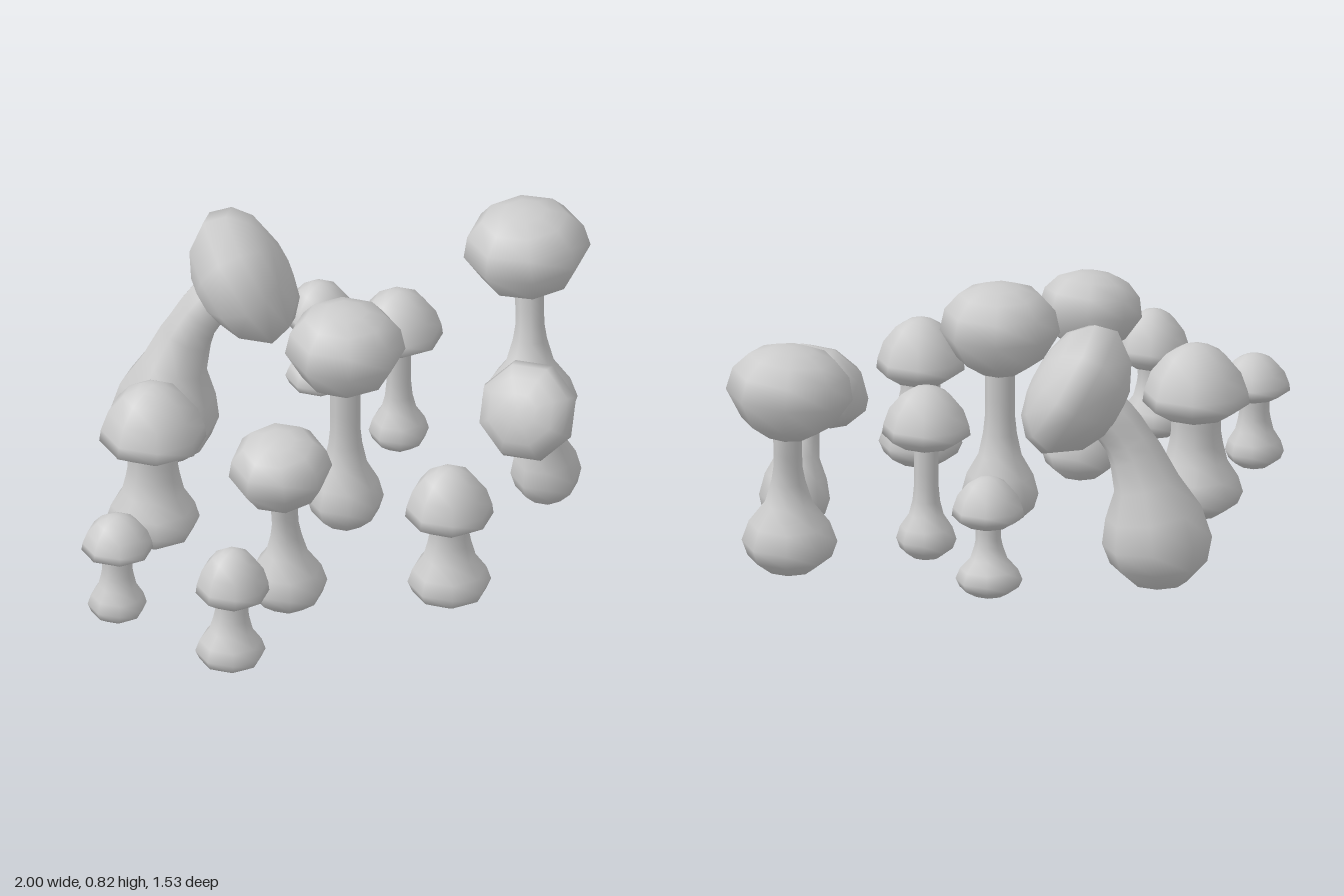
import * as THREE from 'three';
import { mergeVertices } from 'three/addons/utils/BufferGeometryUtils.js';

const SIDES = 8;
const UP = new THREE.Vector3(0, 1, 0);
const material = new THREE.MeshStandardMaterial({ color: 0xcccccc });

// Cap profiles: [radius, height], both in 0..1
const ROUND = [[0, 0], [0.35, 0.03], [0.72, 0.18], [1, 0.48], [0.92, 0.72], [0.68, 0.89], [0.35, 0.97], [0, 1]];
const DOME = [[0, 0], [0.6, 0.03], [1, 0.2], [0.97, 0.36], [0.84, 0.62], [0.56, 0.85], [0.28, 0.96], [0, 1]];

// Weld the lathe seam and smooth the normals
function smooth(geometry) {
  geometry.deleteAttribute('uv');
  geometry.deleteAttribute('normal');
  const welded = mergeVertices(geometry);
  welded.computeVertexNormals();
  return welded;
}

function lathe(points) {
  return new THREE.LatheGeometry(points.map(([r, y]) => new THREE.Vector2(r, y)), SIDES);
}

function makeCap({ shape, cap, r, h, axis = [0, 1, 0] }) {
  const geometry = lathe(shape.map(([px, py]) => [px * r, (py - 0.5) * h]));
  const mesh = new THREE.Mesh(smooth(geometry), material);
  mesh.name = 'cap';
  mesh.position.set(...cap);
  mesh.quaternion.setFromUnitVectors(UP, new THREE.Vector3(...axis).normalize());
  return mesh;
}

// Bulb and stem: a lathe bent along a curve from the ground into the cap
function makeStem({ base, cap, axis = [0, 1, 0], bulb, bulbH, stem }) {
  const start = new THREE.Vector3(...base);
  const end = new THREE.Vector3(...cap);
  const rise = end.y - start.y;
  const dir = new THREE.Vector3(...axis).normalize();
  const curve = new THREE.CubicBezierCurve3(
    start,
    start.clone().addScaledVector(UP, rise * 0.55),
    end.clone().addScaledVector(dir, -rise * 0.3),
    end
  );
  const length = curve.getLength();
  const flare = (k) => stem + (bulb - stem) * k;
  const profile = [
    [0, 0], [bulb * 0.5, bulbH * 0.06], [bulb * 0.88, bulbH * 0.24], [bulb, bulbH * 0.45],
    [flare(0.78), bulbH * 0.72], [flare(0.28), bulbH], [flare(0.08), bulbH * 1.3]
  ];
  const last = bulbH * 1.3;
  for (let i = 1; i <= 6; i++) profile.push([stem, last + (length - last) * i / 6]);

  const geometry = lathe(profile);
  const pos = geometry.attributes.position;
  const turn = new THREE.Quaternion();
  const v = new THREE.Vector3();
  for (let i = 0; i < pos.count; i++) {
    const u = Math.min(1, Math.max(0, pos.getY(i) / length));
    turn.setFromUnitVectors(UP, curve.getTangentAt(u));
    v.set(pos.getX(i), 0, pos.getZ(i)).applyQuaternion(turn).add(curve.getPointAt(u));
    pos.setXYZ(i, v.x, v.y, v.z);
  }
  const mesh = new THREE.Mesh(smooth(geometry), material);
  mesh.name = 'stem';
  return mesh;
}

// cap: centre of the cap, r and h: its radius and height, base: foot of the stem
const MUSHROOMS = [
  // Large and leaning, with rounded caps
  { name: 'giantMushroom', shape: ROUND, cap: [0.145, 0.61, -0.445], r: 0.225, h: 0.28, axis: [0.62, 0.5, 0.6],
    base: [-0.03, 0, -0.61], bulb: 0.165, bulbH: 0.33, stem: 0.075 },
  { name: 'centreMushroom', shape: ROUND, cap: [-0.01, 0.64, 0.09], r: 0.18, h: 0.28,
    base: [-0.01, 0.03, 0.09], bulb: 0.115, bulbH: 0.22, stem: 0.045 },
  { name: 'leftMushroom', shape: ROUND, cap: [0.81, 0.615, 0.1], r: 0.19, h: 0.285, axis: [-0.06, 1, -0.04],
    base: [0.77, 0.03, 0.145], bulb: 0.143, bulbH: 0.23, stem: 0.043 },
  { name: 'rightLeaningMushroom', shape: ROUND, cap: [-0.535, 0.54, 0.285], r: 0.155, h: 0.24, axis: [-0.18, 1, 0.05],
    base: [-0.48, 0.03, 0.265], bulb: 0.12, bulbH: 0.2, stem: 0.04 },
  { name: 'bentMushroom', shape: ROUND, cap: [0.34, 0.43, 0.505], r: 0.155, h: 0.19, axis: [-0.8, 0.45, 0.3],
    base: [0.49, 0.03, 0.45], bulb: 0.106, bulbH: 0.23, stem: 0.047 },
  // Upright, with domed caps
  { name: 'backRightMushroom', shape: DOME, cap: [-0.47, 0.47, -0.27], r: 0.16, h: 0.23,
    base: [-0.47, 0.045, -0.27], bulb: 0.14, bulbH: 0.18, stem: 0.075 },
  { name: 'innerLeftMushroom', shape: DOME, cap: [0.41, 0.495, -0.06], r: 0.132, h: 0.19,
    base: [0.41, 0.05, -0.06], bulb: 0.09, bulbH: 0.14, stem: 0.037 },
  { name: 'frontMushroom', shape: DOME, cap: [-0.165, 0.41, 0.63], r: 0.132, h: 0.2,
    base: [-0.165, 0.05, 0.63], bulb: 0.125, bulbH: 0.16, stem: 0.06 },
  { name: 'frontRightMushroom', shape: DOME, cap: [-0.865, 0.36, 0.38], r: 0.11, h: 0.18,
    base: [-0.875, 0.05, 0.38], bulb: 0.105, bulbH: 0.13, stem: 0.05 },
  { name: 'farRightMushroom', shape: DOME, cap: [-0.89, 0.34, -0.05], r: 0.107, h: 0.14,
    base: [-0.89, 0.055, -0.05], bulb: 0.088, bulbH: 0.12, stem: 0.045 },
  { name: 'backLeftMushroom', shape: DOME, cap: [0.505, 0.345, -0.45], r: 0.108, h: 0.155,
    base: [0.505, 0.05, -0.455], bulb: 0.1, bulbH: 0.12, stem: 0.038 }
];

export function createModel() {
  const model = new THREE.Group();
  model.name = 'mushroomCluster';
  for (const spec of MUSHROOMS) {
    const mushroom = new THREE.Group();
    mushroom.name = spec.name;
    mushroom.add(makeStem(spec), makeCap(spec));
    model.add(mushroom);
  }
  return model;
}
